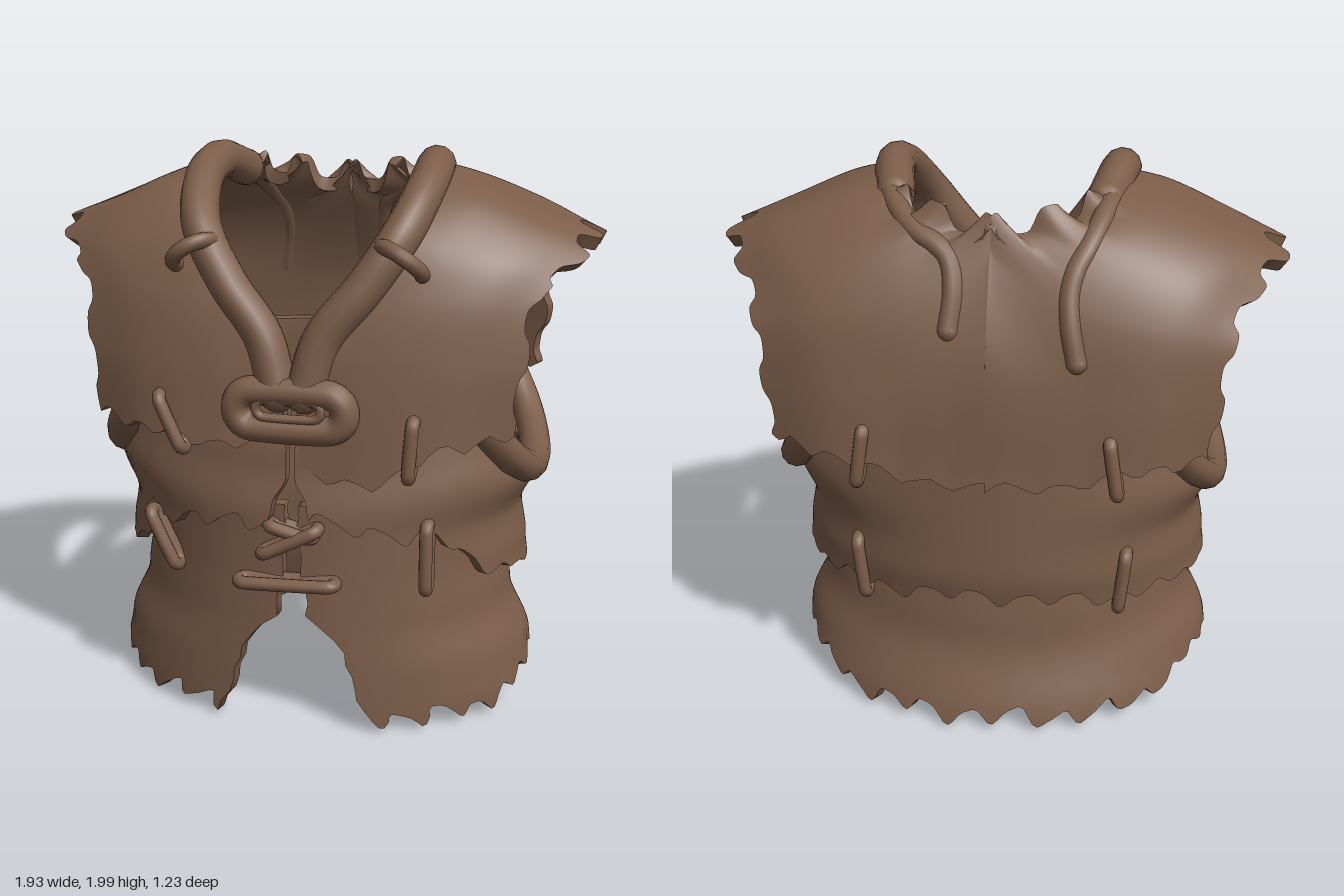
import * as THREE from 'three';

const V = (x, y, z) => new THREE.Vector3(x, y, z);
const smooth = THREE.MathUtils.smoothstep;
const leather = new THREE.MeshStandardMaterial({ color: 0x7c5d49, side: THREE.DoubleSide });
leather.name = 'brown leather';

function mesh(name, geo) {
  const m = new THREE.Mesh(geo, leather);
  m.name = name;
  return m;
}

// smooth interpolation through [key, value] pairs
function ramp(pairs, k) {
  if (k <= pairs[0][0]) return pairs[0][1];
  for (let i = 1; i < pairs.length; i++) {
    const [a, va] = pairs[i - 1], [b, vb] = pairs[i];
    if (k <= b) return va + (vb - va) * smooth(k, a, b);
  }
  return pairs[pairs.length - 1][1];
}

// irregular ragged edge, about -1..1
const ragged = p => 0.7 * Math.sin(p) + 0.3 * Math.sin(p * 0.43 + 1.3) + 0.15 * Math.sin(p * 2.1);

// thick sheet over fn(u, v): outer face, inner face and rim
function shell(name, fn, nu, nv, thick, flip = false) {
  const outer = [], faces = [], id = (i, j) => i * (nv + 1) + j;
  for (let i = 0; i <= nu; i++)
    for (let j = 0; j <= nv; j++) outer.push(fn(i / nu, j / nv));
  const tri = (a, b, c) => (flip ? faces.push(a, c, b) : faces.push(a, b, c));
  for (let i = 0; i < nu; i++)
    for (let j = 0; j < nv; j++) {
      tri(id(i, j), id(i + 1, j), id(i + 1, j + 1));
      tri(id(i, j), id(i + 1, j + 1), id(i, j + 1));
    }
  const face = new THREE.BufferGeometry().setFromPoints(outer);
  face.setIndex(faces.slice());
  face.computeVertexNormals();
  const n = face.attributes.normal, N = outer.length;
  const inner = outer.map((p, i) => p.clone().addScaledVector(V(n.getX(i), n.getY(i), n.getZ(i)), -thick));
  for (let k = 0, len = faces.length; k < len; k += 3)
    faces.push(faces[k] + N, faces[k + 2] + N, faces[k + 1] + N);
  const loop = [];
  for (let i = 0; i < nu; i++) loop.push(id(i, 0));
  for (let j = 0; j < nv; j++) loop.push(id(nu, j));
  for (let i = nu; i > 0; i--) loop.push(id(i, nv));
  for (let j = nv; j > 0; j--) loop.push(id(0, j));
  loop.forEach((a, k) => {
    const b = loop[(k + 1) % loop.length], o = 2 * N, q = 3 * N;
    tri(b + o, a + o, a + q);
    tri(b + o, a + q, b + q);
  });
  const geo = new THREE.BufferGeometry().setFromPoints([...outer, ...inner, ...outer, ...inner]);
  geo.setIndex(faces);
  geo.computeVertexNormals();
  return mesh(name, geo);
}

// oval band round the body, open at the front; angle runs from the front gap past +x
function bodyBand(name, o) {
  return shell(name, (u, v) => {
    const around = u * Math.PI * 2;
    const y = THREE.MathUtils.lerp(o.bottom(around), o.top(around), v);
    const w = ramp(o.width, y);
    const start = Math.asin(o.gap(y) / w);
    const a = THREE.MathUtils.lerp(start, Math.PI * 2 - start, u);
    const c = Math.cos(a);
    return V(w * Math.sin(a), y, ramp(c > 0 ? o.front : o.back, y) * c);
  }, 240, 18, 0.045);
}

// rounded cord through points
function cord(name, pts, r, closed = false) {
  const group = new THREE.Group();
  group.name = name;
  const path = new THREE.CatmullRomCurve3(pts, closed);
  group.add(mesh(name + 'Body', new THREE.TubeGeometry(path, 60, r, 12, closed)));
  if (!closed) for (const p of [pts[0], pts[pts.length - 1]]) {
    const cap = mesh(name + 'End', new THREE.SphereGeometry(r, 12, 8));
    cap.position.copy(p);
    group.add(cap);
  }
  return group;
}

// long rounded ring in its own xy plane
function oblong(name, a, b, r) {
  const pts = [];
  for (let k = 0; k < 20; k++) {
    const t = (k + 0.5) / 20 * Math.PI * 2;
    pts.push(V(Math.sign(Math.cos(t)) * (a - b) + b * Math.cos(t), b * Math.sin(t), 0));
  }
  return cord(name, pts, r, true);
}

// stitch loop passing through the leather
function stitch(name, x, y, z, half, tilt) {
  const s = oblong(name, half, 0.027, 0.023);
  s.position.set(x, y, z);
  s.rotation.set(Math.PI / 2, 0, tilt, 'ZYX');
  return s;
}

// upper layer: rows from the front hem over the shoulder to the back hem,
// each going from the neck or centre line out to the armhole
const rows = [
  [0.03, 1.08, 0.55, 0.28, 1.06, 0.56, 0.52, 1.08, 0.51, 0.71, 1.10, 0.42],
  [0.04, 1.32, 0.53, 0.28, 1.33, 0.53, 0.53, 1.34, 0.49, 0.74, 1.34, 0.41],
  [0.20, 1.55, 0.48, 0.40, 1.56, 0.47, 0.60, 1.56, 0.43, 0.77, 1.54, 0.36],
  [0.31, 1.74, 0.40, 0.49, 1.72, 0.38, 0.68, 1.68, 0.34, 0.85, 1.64, 0.26],
  [0.37, 1.89, 0.20, 0.54, 1.86, 0.20, 0.74, 1.78, 0.18, 0.91, 1.71, 0.13],
  [0.38, 1.94, 0.00, 0.54, 1.89, -0.02, 0.75, 1.80, -0.02, 0.93, 1.73, -0.02],
  [0.32, 1.92, -0.20, 0.52, 1.87, -0.23, 0.75, 1.79, -0.21, 0.91, 1.71, -0.18],
  [0.19, 1.87, -0.35, 0.43, 1.78, -0.41, 0.67, 1.70, -0.40, 0.84, 1.63, -0.33],
  [0.00, 1.84, -0.40, 0.31, 1.63, -0.51, 0.58, 1.56, -0.51, 0.78, 1.51, -0.45],
  [0.00, 1.47, -0.565, 0.28, 1.36, -0.57, 0.54, 1.33, -0.56, 0.75, 1.32, -0.49],
  [0.00, 1.01, -0.60, 0.28, 1.04, -0.595, 0.54, 1.10, -0.575, 0.73, 1.12, -0.50],
];
const columns = [0, 3, 6, 9].map(c => new THREE.CatmullRomCurve3(rows.map(r => V(r[c], r[c + 1], r[c + 2]))));
const rowAt = t => new THREE.CatmullRomCurve3(columns.map(c => c.getPoint(t)));

function upperPanel(name, side) {
  return shell(name, (t, v) => {
    const across = rowAt(t);
    // rounded teeth along the armhole edge, largest at the shoulder
    const tooth = (0.025 + 0.075 * Math.sin(Math.PI * t) ** 4)
      * (0.85 * Math.tanh(1.8 * Math.sin(t * 56 + side * 0.4 + 1)) + 0.25 * Math.sin(t * 23));
    const s = v * (1 + tooth * smooth(v, 0.65, 1));
    const p = across.getPoint(Math.min(s, 1));
    if (s > 1) p.addScaledVector(across.getPoint(1).sub(across.getPoint(0.9)), (s - 1) * 10);
    // ragged hems, hanging lower on the front left flap
    const front = Math.max(0, 1 - t * 9), back = Math.max(0, 1 - (1 - t) * 9);
    p.y += (front + back) * 0.025 * ragged(v * 30 + side);
    if (side > 0) p.y -= front * 0.11 * (1 - smooth(v, 0.35, 0.65));
    // notched back collar
    const collar = smooth(t, 0.6, 0.64) * (1 - smooth(t, 0.8, 0.825));
    p.y += collar * (1 - v) ** 14 * 0.045 * Math.tanh(2 * Math.cos((t - 0.8) * 66));
    return V(side * Math.max(0, p.x), p.y, p.z);
  }, 200, 24, 0.05, side > 0);
}

export function createModel() {
  const vest = new THREE.Group();
  vest.name = 'leatherVest';

  // flared skirt
  vest.add(bodyBand('skirt', {
    width: [[0.1, 0.79], [0.2, 0.77], [0.42, 0.69], [0.6, 0.665], [0.85, 0.66]],
    front: [[0, 0.555], [0.8, 0.54]],
    back: [[0, 0.58], [0.35, 0.48], [0.6, 0.46], [0.85, 0.46]],
    gap: y => ramp([[0.03, 0.28], [0.2, 0.21], [0.3, 0.19], [0.36, 0.14], [0.46, 0.05], [0.75, 0.02]], y)
      + 0.008 * Math.sin(y * 40),
    bottom: a => 0.18 - 0.115 * smooth(Math.abs(Math.cos(a)), 0.1, 0.85)
      + (0.015 + 0.03 * Math.abs(Math.cos(a))) * ragged(a * 26 + 4),
    top: () => 0.85,
  }));

  // waist band with armhole cut-outs
  vest.add(bodyBand('waistBand', {
    width: [[0.5, 0.75], [0.6, 0.74], [0.74, 0.72], [0.9, 0.78], [1.08, 0.72], [1.25, 0.70]],
    front: [[0.5, 0.58], [0.8, 0.58], [1.0, 0.55], [1.25, 0.51]],
    back: [[0.5, 0.55], [0.65, 0.575], [1.0, 0.57], [1.25, 0.545]],
    gap: y => ramp([[0.7, 0.10], [0.86, 0.06], [0.95, 0.015]], y),
    bottom: a => {
      const f = Math.min(a, Math.PI * 2 - a);
      return ramp([[0.1, 0.80], [0.55, 0.74], [1.05, 0.56], [1.5, 0.52], [2.4, 0.53], [3.1, 0.57]], f)
        + 0.04 * Math.abs(Math.cos(a)) * ragged(a * 25);
    },
    top: a => {
      const z = 0.54 * Math.cos(a) + 0.03;
      return Math.abs(z) < 0.42 ? Math.min(1.25, 1.31 - Math.sqrt(0.42 ** 2 - z * z)) : 1.25;
    },
  }));

  for (const side of [1, -1]) {
    const label = side > 0 ? 'left' : 'right';
    vest.add(upperPanel(label + 'UpperPanel', side));

    // rolled lower armhole edge, tucked under the upper panel
    const rim = [];
    for (let k = 0; k <= 12; k++) {
      const a = (k / 12 - 0.5) * Math.PI * 0.84;
      rim.push(V(side * (0.4 + 0.355 * Math.cos(a) ** 0.6), 1.305 - 0.42 * Math.cos(a), -0.03 + 0.45 * Math.sin(a)));
    }
    vest.add(cord(label + 'ArmholeRoll', rim, 0.058));

    // rolled neckline over the shoulder
    const neck = [[0.045, 1.24, 0.53], [0.1, 1.42, 0.505], [0.225, 1.58, 0.47], [0.335, 1.75, 0.395], [0.385, 1.88, 0.22],
      [0.385, 1.93, 0.02], [0.35, 1.88, -0.17]].map(([x, y, z]) => V(side * x, y, z));
    vest.add(cord(label + 'NeckRoll', neck, 0.067));

    // raised seam following the panel down the back
    const seam = [];
    for (let k = 0; k <= 8; k++) {
      const p = rowAt(0.58 + k * 0.035).getPoint(0.06 + k * (side > 0 ? 0.012 : 0.035));
      seam.push(V(side * p.x, p.y - 0.02, p.z + 0.012));
    }
    vest.add(cord(label + 'BackSeam', seam, 0.038));

    // binding ring on the neck roll
    const ring = mesh(label + 'NeckRing', new THREE.TorusGeometry(0.08, 0.026, 10, 28));
    ring.position.set(side * 0.345, 1.675, 0.445);
    ring.quaternion.setFromUnitVectors(V(0, 0, 1), V(side * 0.1, 0.16, -0.08).normalize());
    vest.add(ring);

    // stitches on the back
    vest.add(stitch(label + 'BackUpperStitch', side * 0.42, 1.1, -0.565, 0.1, Math.PI / 2 + side * 0.15));
    vest.add(stitch(label + 'BackLowerStitch', side * 0.46, 0.6, -0.44, 0.11, Math.PI / 2 - side * 0.1));
  }

  // front clasp with its inner loop
  const clasp = oblong('clasp', 0.185, 0.062, 0.05);
  clasp.position.set(0, 1.185, 0.55);
  const loop = oblong('claspLoop', 0.11, 0.03, 0.016);
  loop.position.set(0, 1.195, 0.575);
  vest.add(clasp, loop);

  // front stitches and lacing
  vest.add(stitch('rightChestStitch', -0.42, 1.11, 0.52, 0.1, 1.98));
  vest.add(stitch('leftChestStitch', 0.4, 1.07, 0.52, 0.1, 1.5));
  vest.add(stitch('rightWaistStitch', -0.49, 0.65, 0.435, 0.11, 2.0));
  vest.add(stitch('leftWaistStitch', 0.45, 0.67, 0.455, 0.12, 1.57));
  vest.add(stitch('upperLace', 0, 0.73, 0.565, 0.11, 0.48));
  vest.add(stitch('upperLaceCross', 0, 0.765, 0.55, 0.08, -0.25));
  vest.add(stitch('lowerLace', -0.015, 0.575, 0.555, 0.17, 0.04));
  return vest;
}
